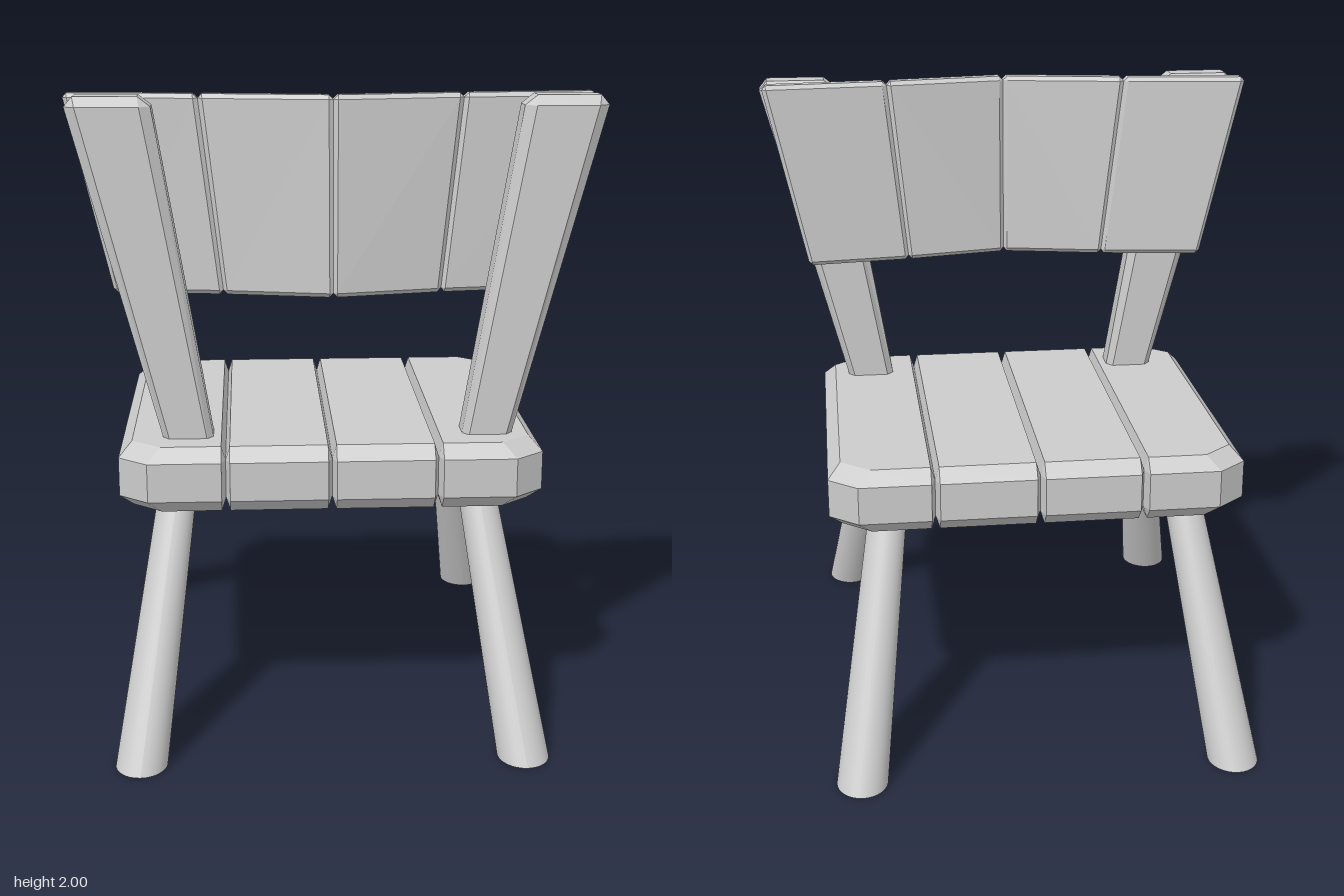
import * as THREE from 'three';

const wood = new THREE.MeshStandardMaterial({ color: 0xcccccc, flatShading: true });
const round = new THREE.MeshStandardMaterial({ color: 0xcccccc });
const mix = THREE.MathUtils.lerp;

// Eight-point outline; the a0 and a1 ends have their own corner cuts [along a, along b]
function octagon(a0, a1, b0, b1, [ca0, cb0], [ca1, cb1]) {
  return [
    [a0 + ca0, b0], [a1 - ca1, b0], [a1, b0 + cb1], [a1, b1 - cb1],
    [a1 - ca1, b1], [a0 + ca0, b1], [a0, b1 - cb0], [a0, b0 + cb0],
  ];
}

// Bevelled solid: inset, full, full, inset outlines stacked at four levels, placed by map(a, b, c)
function bevelledSolid(name, inset, full, levels, map) {
  const rings = [inset, full, full, inset].map((ring, i) => ring.map(([a, b]) => map(a, b, levels[i])));
  const n = full.length;
  const tris = [];
  for (let k = 0; k < 3; k++) {
    for (let i = 0; i < n; i++) {
      const j = (i + 1) % n;
      const [p, q, r, s] = [rings[k][i], rings[k][j], rings[k + 1][j], rings[k + 1][i]];
      tris.push([p, q, r], [p, r, s]);
    }
  }
  for (let i = 1; i < n - 1; i++) {
    tris.push([rings[0][0], rings[0][i + 1], rings[0][i]]);
    tris.push([rings[3][0], rings[3][i], rings[3][i + 1]]);
  }
  // Drop collapsed corners and turn the faces outward
  const area = ([p, q, r]) => q.clone().sub(p).cross(r.clone().sub(p)).length();
  const solid = tris.filter((t) => area(t) > 1e-8);
  const volume = solid.reduce((v, [p, q, r]) => v + p.dot(q.clone().cross(r)), 0);
  const points = solid.flatMap(([p, q, r]) => (volume > 0 ? [p, q, r] : [p, r, q]));
  const geometry = new THREE.BufferGeometry().setFromPoints(points);
  geometry.computeVertexNormals();
  const mesh = new THREE.Mesh(geometry, wood);
  mesh.name = name;
  return mesh;
}

// Seat: four planks, the outer two with large cut corners
function createSeat() {
  const seat = new THREE.Group();
  seat.name = 'seat';
  const seams = [-0.67, -0.343, -0.018, 0.308, 0.635];
  const z0 = -0.56, z1 = 0.6, bevel = 0.04, seam = 0.013;
  for (let i = 0; i < 4; i++) {
    const [x0, x1] = [seams[i], seams[i + 1]];
    const ends = [i === 0, i === 3];
    const cut = ends.map((end) => (end ? [0.09, 0.075] : [seam, bevel]));
    const innerCut = ends.map((end) => (end ? [0.09, 0.075] : [0, 0]));
    const [in0, in1] = ends.map((end) => (end ? bevel : seam));
    seat.add(bevelledSolid('seatPlank',
      octagon(x0 + in0, x1 - in1, z0 + bevel, z1 - bevel, ...innerCut),
      octagon(x0, x1, z0, z1, ...cut),
      [0.755, 0.797, 0.918, 0.96],
      (x, z, y) => new THREE.Vector3(x, y, z)));
  }
  return seat;
}

// Backrest: four slats fanning outward, forming a shallow V in plan
function createBackrest() {
  const back = new THREE.Group();
  back.name = 'backrest';
  const bottomX = [-0.68, -0.342, -0.008, 0.328, 0.668];
  const topX = [-0.82, -0.413, -0.008, 0.391, 0.803];
  const backZ = [0.27, 0.315, 0.385, 0.315, 0.27];
  const a = 0.035, b = 0.022;
  for (let i = 0; i < 4; i++) {
    back.add(bevelledSolid('backSlat',
      octagon(a, 1 - a, b, 1 - b, [0, 0], [0, 0]),
      octagon(0, 1, 0, 1, [a, b], [a, b]),
      [0, 0.2, 0.8, 1],
      (u, v, w) => new THREE.Vector3(
        mix(mix(bottomX[i], topX[i], v), mix(bottomX[i + 1], topX[i + 1], v), u),
        mix(1.39, 2, v),
        mix(backZ[i], backZ[i + 1], u) + 0.058 * w)));
  }
  return back;
}

// Post: bevelled, leaning outward and widening toward the top
function createPost(side) {
  const a = 0.13, b = 0.2;
  return bevelledSolid(side > 0 ? 'leftPost' : 'rightPost',
    octagon(a, 1 - a, b, 1 - b, [0, 0], [0, 0]),
    octagon(0, 1, 0, 1, [a, b], [a, b]),
    [0, 0.025, 0.975, 1],
    (u, v, w) => new THREE.Vector3(
      0.006 + side * mix(mix(0.36, 0.558, w), mix(0.5, 0.814, w), u),
      mix(0.8, 2, w),
      mix(0.356, 0.476, v)));
}

// Leg: tapered and splayed, cut level at the floor
function createLeg(side, end) {
  const height = 0.82;
  const geometry = new THREE.CylinderGeometry(1, 1, height, 32).translate(0, height / 2, 0);
  const pos = geometry.attributes.position;
  const footX = side > 0 ? 0.565 : -0.612;
  const topX = side > 0 ? 0.442 : -0.49;
  const footZ = end > 0 ? 0.737 : -0.733;
  const topZ = end > 0 ? 0.352 : -0.352;
  for (let i = 0; i < pos.count; i++) {
    const t = pos.getY(i) / height;
    pos.setX(i, mix(footX, topX, t) + pos.getX(i) * mix(0.08, 0.059, t));
    pos.setZ(i, mix(footZ, topZ, t) + pos.getZ(i) * mix(0.091, 0.062, t));
  }
  geometry.computeVertexNormals();
  const mesh = new THREE.Mesh(geometry, round);
  mesh.name = (end > 0 ? 'front' : 'back') + (side > 0 ? 'Left' : 'Right') + 'Leg';
  return mesh;
}

export function createModel() {
  const chair = new THREE.Group();
  chair.name = 'chair';
  chair.add(createSeat(), createBackrest());
  for (const side of [-1, 1]) {
    chair.add(createPost(side));
    for (const end of [-1, 1]) chair.add(createLeg(side, end));
  }
  return chair;
}
